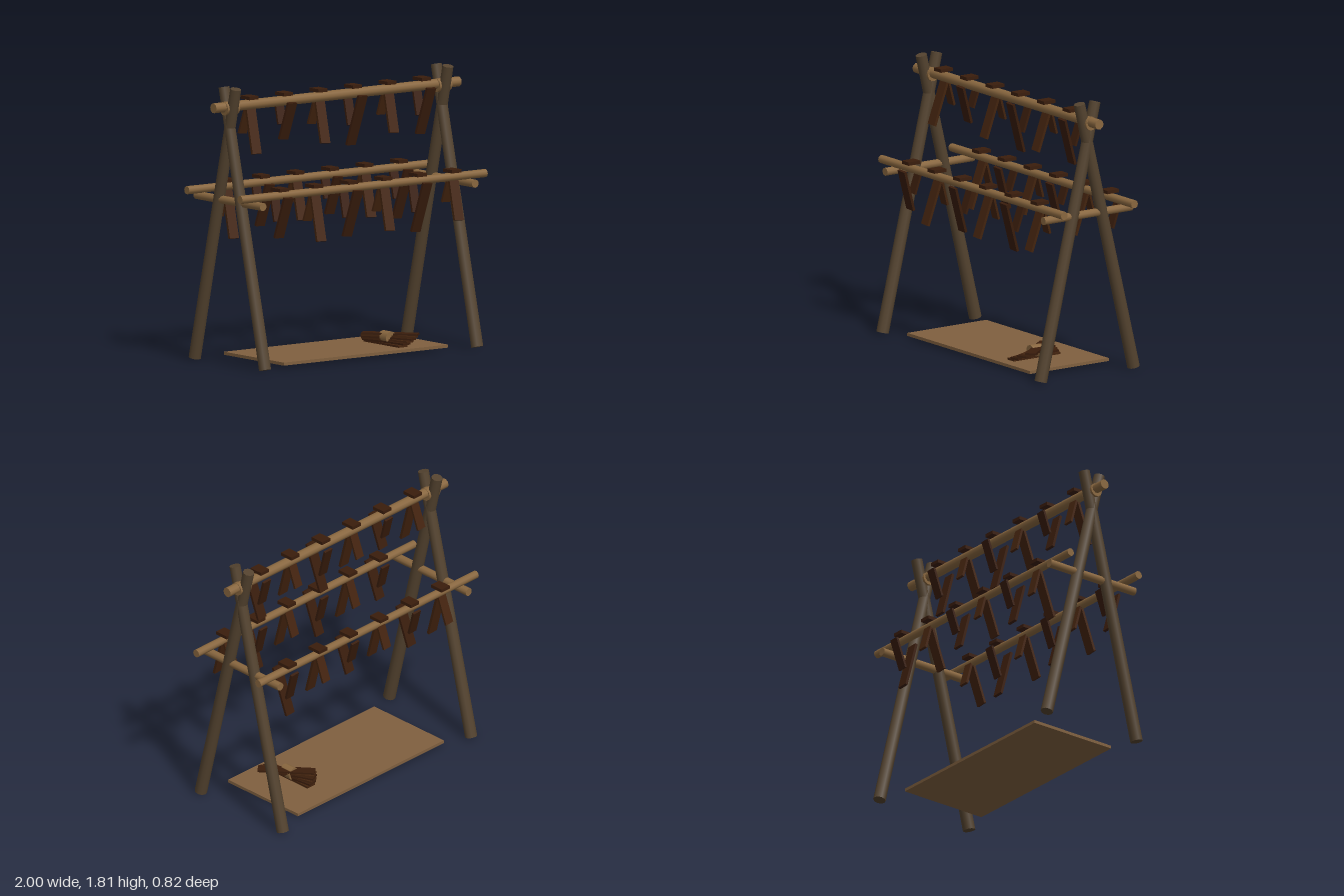
import * as THREE from 'three';

const mat = (name, color) => {
  const m = new THREE.MeshStandardMaterial({ color });
  m.name = name;
  return m;
};

export function createModel() {
  const root = new THREE.Group();
  root.name = 'dryingRack';
  const bark = mat('dark bark', 0x54432f);
  const wood = mat('light wood', 0x89673f);
  const hide = mat('tan hide', 0x80603f);
  const meat = mat('dried meat', 0x44240f);
  const darkMeat = mat('dark dried meat', 0x3a1d0c);

  const add = (parent, name, geometry, material, x = 0, y = 0, z = 0) => {
    const mesh = new THREE.Mesh(geometry, material);
    mesh.name = name;
    mesh.position.set(x, y, z);
    parent.add(mesh);
    return mesh;
  };

  // Round pole between two points
  const pole = (name, a, b, rA, rB, material) => {
    const from = new THREE.Vector3(...a), to = new THREE.Vector3(...b);
    const dir = to.clone().sub(from);
    const mesh = add(root, name, new THREE.CylinderGeometry(rB, rA, dir.length(), 10), material);
    mesh.position.copy(from).add(to).multiplyScalar(0.5);
    mesh.quaternion.setFromUnitVectors(new THREE.Vector3(0, 1, 0), dir.normalize());
    return mesh;
  };

  // Crossed end frames with a cross pole and a lashing at the ridge
  for (const x of [-0.865, 0.865]) {
    for (const s of [-1, 1]) {
      pole('leg', [x, 0.01, 0.37 * s], [x, 1.805, -0.062 * s], 0.041, 0.037, bark);
    }
    pole('crossPole', [x, 1.07, -0.35], [x, 1.07, 0.35], 0.027, 0.027, wood);
    pole('ridgeLashing', [x - 0.05, 1.675, 0], [x + 0.05, 1.675, 0], 0.045, 0.045, wood);
  }

  // One strip folded over a rail: cap, long front half, short back half
  const hangStrip = (x, y, z, r, length, outward) => {
    const g = new THREE.Group();
    g.name = 'meatStrip';
    g.position.set(x, y, z);
    const material = outward ? meat : darkMeat;
    const tilt = outward ? -0.3 : 0.3;
    add(g, 'stripFold', new THREE.BoxGeometry(0.075, 0.022, 0.095), darkMeat, 0, r + 0.013, 0);
    const front = add(g, 'stripFront', new THREE.BoxGeometry(0.073, length, 0.018), material,
      0, -length / 2, 0.038);
    front.rotation.set(tilt, 0, -0.06);
    const back = add(g, 'stripBack', new THREE.BoxGeometry(0.065, length * 0.62, 0.016), material,
      0, -length * 0.31, -0.04);
    back.rotation.set(-tilt, 0, -0.06);
    root.add(g);
  };

  // Long rails, each carrying six strips with alternating lean
  const rails = [
    { name: 'ridgePole', y: 1.685, z: 0, r: 0.033, x0: -0.705, even: true,
      lengths: [0.32, 0.255, 0.3, 0.345, 0.28, 0.32] },
    { name: 'frontRail', y: 1.12, z: 0.28, r: 0.027, x0: -0.675, even: false,
      lengths: [0.28, 0.32, 0.32, 0.3, 0.34, 0.28] },
    { name: 'backRail', y: 1.12, z: -0.28, r: 0.027, x0: -0.675, even: true,
      lengths: [0.34, 0.29, 0.27, 0.26, 0.3, 0.34] },
  ];
  for (const { name, y, z, r, x0, even, lengths } of rails) {
    pole(name, [-1, y, z], [1, y, z], r, r, wood);
    lengths.forEach((len, i) => hangStrip(x0 + i * 0.281, y, z, r, len, (i % 2 === 0) === even));
  }

  // Ground mat
  add(root, 'groundMat', new THREE.BoxGeometry(1.34, 0.02, 0.63), hide, 0, 0.026, 0);

  // Fanned stack of strips held by a tie
  for (let i = 0; i < 6; i++) {
    const slab = add(root, 'stackedStrip', new THREE.BoxGeometry(0.07, 0.013, 0.37),
      i % 2 ? darkMeat : meat, 0.36 + i * 0.008, 0.043 + i * 0.0118, 0.055);
    slab.rotation.y = i * 0.135;
  }
  pole('stackTie', [0.375, 0.08, 0.013], [0.375, 0.08, 0.097], 0.043, 0.043, wood);

  return root;
}
